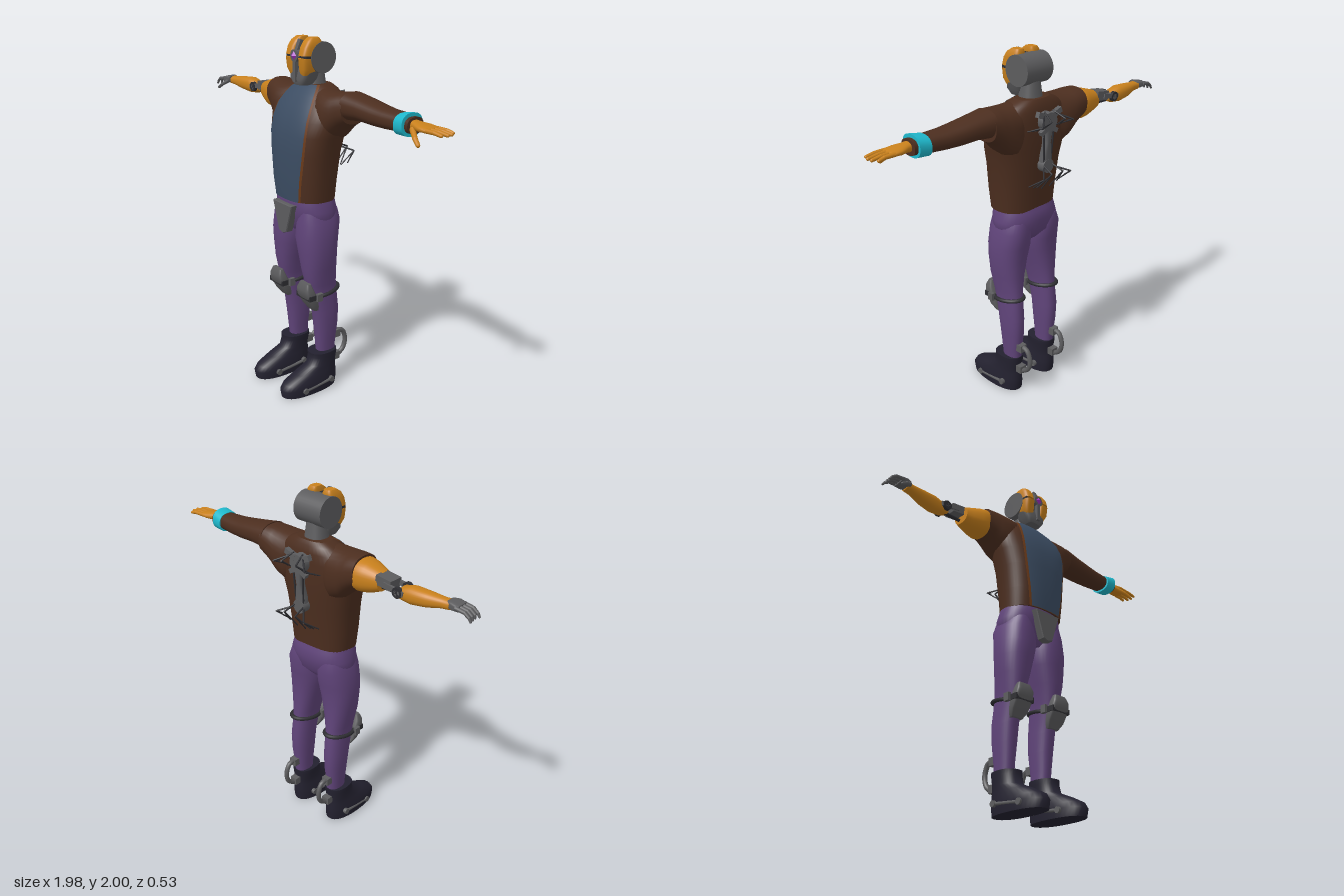
import * as THREE from 'three';

const paint = (color) => new THREE.MeshStandardMaterial({ color, side: THREE.DoubleSide });
const V = (p) => new THREE.Vector3(...p);

// Loft along 'x' or 'y'. Each ring is [t, u0, u1, v0, v1, w]: u is x (or y), v is z.
// With w, only the front part of half width w is made, as an open strip.
function loft(axis, rings, p = 0.85, seg = 32, grow = 0) {
  const pos = [], idx = [], open = rings[0].length > 5;
  const up = rings[1][0] > rings[0][0], n = open ? seg + 1 : seg;
  const tri = (a, b, c) => (up ? idx.push(a, b, c) : idx.push(a, c, b));
  const pw = (v) => Math.sign(v) * Math.abs(v) ** p;
  const put = (t, u, v) => (axis === 'y' ? pos.push(u, t, v) : pos.push(t, u, v));
  const dir = axis === 'y' ? 1 : -1;
  const ring = ([t, u0, u1, v0, v1, w]) => {
    const ru = (u1 - u0) / 2, rv = (v1 - v0) / 2;
    const h = open ? Math.asin(Math.min(1, w / ru) ** (1 / p)) : Math.PI;
    for (let i = 0; i < n; i++) {
      const a = -h + (2 * h * i) / seg;
      put(t, (u0 + u1) / 2 + dir * (ru + grow) * pw(Math.sin(a)), (v0 + v1) / 2 + (rv + grow) * pw(Math.cos(a)));
    }
  };
  rings.forEach(ring);
  for (let r = 0; r < rings.length - 1; r++)
    for (let i = 0; i < seg; i++) {
      const j = (i + 1) % n, a = r * n, b = a + n;
      tri(a + i, a + j, b + j);
      tri(a + i, b + j, b + i);
    }
  if (!open) [rings[0], rings.at(-1)].forEach((r, k) => {
    const s = pos.length / 3;
    ring(r);
    put(r[0], (r[1] + r[2]) / 2, (r[3] + r[4]) / 2);
    for (let i = 0; i < n; i++) {
      const j = (i + 1) % n;
      if (k) tri(s + n, s + i, s + j); else tri(s + n, s + j, s + i);
    }
  });
  const g = new THREE.BufferGeometry();
  g.setAttribute('position', new THREE.Float32BufferAttribute(pos, 3));
  g.setIndex(idx);
  g.computeVertexNormals();
  return g;
}

export function createModel() {
  const root = new THREE.Group();
  const orange = paint(0xc8801c), brown = paint(0x4c2e1f), blue = paint(0x3b4c62), purple = paint(0x60447a);
  const boot = paint(0x23212f), cyan = paint(0x1fb9cd), steel = paint(0x5c5c5e), dark = paint(0x2e2e32), magenta = paint(0xa030c0);
  const trim = paint(0x6b3a18);
  const C = -0.014; // body centre line

  const add = (name, geo, mat, at = [0, 0, 0], rot = [0, 0, 0]) => {
    const m = new THREE.Mesh(geo, mat);
    m.name = name;
    m.position.set(...at);
    m.rotation.set(...rot);
    root.add(m);
    return m;
  };
  const box = (name, size, mat, at, rot) => add(name, new THREE.BoxGeometry(...size), mat, at, rot);
  const disc = (name, r, len, mat, at, rot) => add(name, new THREE.CylinderGeometry(r, r, len, 32), mat, at, rot);
  const bar = (name, a, b, r0, r1, mat) => {
    const d = V(b).sub(V(a));
    const m = add(name, new THREE.CylinderGeometry(r1, r0, d.length(), 10), mat);
    m.position.copy(V(a)).addScaledVector(d, 0.5);
    m.quaternion.setFromUnitVectors(new THREE.Vector3(0, 1, 0), d.normalize());
  };
  const finger = (name, pts, r, mat) => pts.slice(1).forEach((q, i) => {
    bar(name, pts[i], q, r * (1 - 0.15 * i), r * (0.85 - 0.15 * i), mat);
    add(name + 'Joint', new THREE.SphereGeometry(r * (0.85 - 0.15 * i), 10, 8), mat, q);
  });

  // Jacket body: [y, half width, back, front, shirt half width]
  const body = [
    [1.14, 0.183, -0.122, 0.138, 0.1], [1.25, 0.194, -0.13, 0.148, 0.115], [1.4, 0.21, -0.145, 0.15, 0.135],
    [1.5, 0.235, -0.155, 0.143, 0.146], [1.58, 0.252, -0.158, 0.122, 0.146], [1.65, 0.245, -0.158, 0.09, 0.138],
    [1.7, 0.205, -0.153, 0.055, 0.12], [1.735, 0.15, -0.145, 0.025, 0.1], [1.755, 0.1, -0.13, 0, 0.075],
  ];
  const wrap = (extra) => body.map(([y, w, b, f, s]) =>
    extra === undefined ? [y, C - w, C + w, b, f] : [y, C - w, C + w, b, f, s + extra]);
  add('jacket', loft('y', wrap(), 0.8, 48), brown);
  add('jacketTrim', loft('y', wrap(0.012), 0.8, 24, 0.003), trim);
  add('shirt', loft('y', wrap(0), 0.8, 24, 0.006), blue);
  for (const s of [1, -1])
    add('jacketShoulder', loft('x', [
      [0.08, 1.52, 1.75, -0.13, 0.03], [0.16, 1.46, 1.738, -0.155, 0.07], [0.22, 1.49, 1.738, -0.157, 0.068],
      [0.26, 1.535, 1.742, -0.157, 0.055], [0.29, 1.56, 1.745, -0.156, 0.043], [0.33, 1.585, 1.745, -0.155, 0.032],
    ].map(([x, ...r]) => [C + s * x, ...r])), brown);

  // Left arm: sleeve, cuff, hand
  add('sleeve', loft('x', [
    [0.3, 1.605, 1.75, -0.152, 0.032], [0.4, 1.615, 1.735, -0.145, 0.02], [0.5, 1.61, 1.72, -0.135, 0.015],
    [0.58, 1.61, 1.71, -0.125, 0.01], [0.7, 1.615, 1.705, -0.11, 0.002],
  ]), brown);
  add('cuff', loft('x', [[0.68, 1.602, 1.708, -0.118, 0.015], [0.745, 1.604, 1.718, -0.113, 0.022]]), cyan, [0, 0, 0]);
  add('cuffLining', loft('x', [[0.74, 1.62, 1.7, -0.1, 0.005], [0.765, 1.62, 1.7, -0.1, 0.005]]), brown);
  add('palm', loft('x', [
    [0.75, 1.635, 1.69, -0.075, -0.015], [0.785, 1.64, 1.685, -0.08, -0.01], [0.83, 1.642, 1.68, -0.098, 0.006],
    [0.875, 1.646, 1.674, -0.098, 0.004], [0.885, 1.652, 1.668, -0.09, -0.004],
  ]), orange);
  [[-0.085, -0.092, 0.965], [-0.06, -0.065, 0.983], [-0.034, -0.038, 0.986], [-0.008, -0.008, 0.975]].forEach(([z, z1, x]) =>
    finger('finger', [[0.865, 1.66, z], [0.925, 1.66, (z + z1) / 2], [x - 0.008, 1.654, z1]], 0.012, orange));
  finger('thumb', [[0.78, 1.65, -0.015], [0.835, 1.62, 0.02], [0.868, 1.598, 0.033]], 0.015, orange);

  // Right arm: mechanical, with an open elbow
  add('upperArm', loft('x', [
    [-0.31, 1.58, 1.73, -0.145, 0.02], [-0.35, 1.567, 1.735, -0.152, 0.028], [-0.39, 1.572, 1.728, -0.145, 0.02],
    [-0.44, 1.588, 1.714, -0.133, 0], [-0.478, 1.605, 1.702, -0.125, -0.015],
  ]), orange);
  box('elbowBlock', [0.09, 0.05, 0.08], steel, [-0.51, 1.672, -0.085], [0, 0, 0.12]);
  for (const z of [-0.125, -0.045]) {
    box('elbowFork', [0.12, 0.025, 0.014], steel, [-0.575, 1.66, z], [0, 0, 0.15]);
    disc('elbowDisc', 0.027, 0.02, dark, [-0.6, 1.652, z], [Math.PI / 2, 0, 0]);
  }
  disc('elbowPin', 0.016, 0.1, steel, [-0.6, 1.652, -0.085], [Math.PI / 2, 0, 0]);
  bar('elbowPiston', [-0.48, 1.63, -0.085], [-0.6, 1.63, -0.085], 0.01, 0.01, dark);
  add('forearm', loft('x', [
    [-0.575, 1.625, 1.645, -0.11, -0.06], [-0.61, 1.61, 1.68, -0.125, -0.05], [-0.67, 1.605, 1.695, -0.132, -0.043],
    [-0.75, 1.615, 1.69, -0.122, -0.04], [-0.82, 1.63, 1.682, -0.1, -0.04], [-0.865, 1.635, 1.682, -0.098, -0.035],
  ]), orange);
  add('mechanicalPalm', loft('x', [
    [-0.85, 1.645, 1.682, -0.09, -0.03], [-0.88, 1.642, 1.684, -0.1, -0.02], [-0.915, 1.645, 1.675, -0.1, -0.02],
  ], 0.5), steel);
  [-0.095, -0.072, -0.049, -0.026].forEach((z, i) =>
    finger('mechanicalFinger', [[-0.9, 1.664, z], [-0.95, 1.658, z], [-0.975, 1.64, z], [-0.985 + (i % 3) * 0.004, 1.625, z]], 0.011, steel));
  finger('mechanicalThumb', [[-0.86, 1.655, -0.03], [-0.895, 1.63, -0.005], [-0.925, 1.61, 0]], 0.012, steel);

  // Neck and head
  add('neck', loft('y', [[1.7, C - 0.07, C + 0.07, -0.12, 0.015], [1.76, C - 0.06, C + 0.06, -0.11, 0.005], [1.84, C - 0.05, C + 0.05, -0.1, 0]]), steel);
  disc('headDrum', 0.081, 0.182, steel, [C, 1.895, -0.045], [0, 0, Math.PI / 2]);
  add('skull', loft('y', [[1.8, C - 0.06, C + 0.06, -0.03, 0.05], [1.88, C - 0.075, C + 0.075, -0.04, 0.06], [1.97, C - 0.07, C + 0.07, -0.05, 0.035]], 0.6), dark);
  add('jaw', loft('y', [
    [1.752, C - 0.045, C + 0.045, -0.02, 0.06], [1.785, C - 0.068, C + 0.068, -0.04, 0.074], [1.84, C - 0.084, C + 0.084, -0.05, 0.06],
  ], 0.6), steel);
  for (const s of [1, -1]) {
    const side = (a, b) => (s > 0 ? [C + a, C + b] : [C - b, C - a]);
    add('facePlate', loft('y', [
      [1.805, ...side(0.02, 0.07), -0.02, 0.062], [1.84, ...side(0.02, 0.087), -0.03, 0.074], [1.895, ...side(0.02, 0.09), -0.035, 0.08],
    ], 0.55), orange);
    add('browPlate', loft('y', [
      [1.908, ...side(0.02, 0.09), -0.035, 0.078], [1.95, ...side(0.02, 0.09), -0.04, 0.066],
      [1.98, ...side(0.02, 0.085), -0.045, 0.046], [1.998, ...side(0.025, 0.072), -0.035, 0.02],
    ], 0.55), orange);
    box('visor', [0.07, 0.014, 0.09], dark, [C + s * 0.053, 1.902, 0.02]);
  }
  box('noseBar', [0.024, 0.13, 0.03], steel, [C, 1.835, 0.066]);
  box('crownBar', [0.024, 0.07, 0.03], steel, [C, 1.95, 0.045], [-0.4, 0, 0]);
  disc('lensMount', 0.032, 0.03, steel, [C, 1.905, 0.066], [Math.PI / 2, 0, 0]);
  add('lens', new THREE.OctahedronGeometry(0.033), magenta, [C, 1.905, 0.075]).scale.z = 0.6;

  // Trousers
  const P = -0.019;
  add('hips', loft('y', [
    [0.945, P - 0.1, P + 0.1, -0.07, 0.07], [1.0, P - 0.195, P + 0.195, -0.12, 0.112], [1.08, P - 0.195, P + 0.195, -0.138, 0.13],
    [1.13, P - 0.182, P + 0.182, -0.13, 0.133], [1.18, P - 0.172, P + 0.172, -0.115, 0.125],
  ], 0.85, 40), purple);

  for (const s of [1, -1]) {
    const X = P + s * 0.133;
    const span = (a, b) => (s > 0 ? [P + a, P + b] : [P - b, P - a]);
    add('trouserLeg', loft('y', [
      [0.2, 0.09, 0.17, -0.1, 0.015], [0.28, 0.088, 0.175, -0.105, 0.022], [0.38, 0.08, 0.183, -0.117, 0.032],
      [0.48, 0.078, 0.188, -0.12, 0.045], [0.58, 0.075, 0.185, -0.11, 0.066], [0.65, 0.07, 0.186, -0.104, 0.088],
      [0.75, 0.045, 0.204, -0.1, 0.106], [0.85, 0.02, 0.213, -0.104, 0.116], [0.93, 0.004, 0.212, -0.115, 0.124],
      [1.02, 0.01, 0.202, -0.13, 0.118], [1.08, 0.03, 0.18, -0.12, 0.11],
    ].map(([y, a, b, ...z]) => [y, ...span(a, b), ...z])), purple);

    // Boot and its side struts
    add('boot', loft('y', [
      [0, 0.058, 0.21, -0.1, 0.262], [0.045, 0.056, 0.214, -0.105, 0.27], [0.075, 0.06, 0.21, -0.105, 0.25],
      [0.115, 0.068, 0.202, -0.102, 0.17], [0.15, 0.075, 0.195, -0.098, 0.085], [0.2, 0.068, 0.198, -0.105, 0.068], [0.225, 0.068, 0.198, -0.106, 0.07],
    ].map(([y, a, b, ...z]) => [y, ...span(a, b), ...z])), boot);
    for (const k of [1, -1]) {
      const x = X + k * 0.076;
      bar('bootStrut', [x, 0.037, 0.155], [x, 0.055, -0.03], 0.009, 0.009, steel);
      for (const [y, z] of [[0.037, 0.155], [0.055, -0.03]])
        disc('bootStrutPivot', 0.017, 0.02, steel, [x, y, z], [0, 0, Math.PI / 2]);
    }

    // Heel brace
    const curve = new THREE.CatmullRomCurve3([[0.31, -0.12], [0.3, -0.165], [0.24, -0.19], [0.18, -0.175], [0.145, -0.13]].map(([y, z]) => V([X, y, z])));
    add('heelBrace', new THREE.TubeGeometry(curve, 20, 0.014, 10), steel);
    box('heelBraceTop', [0.045, 0.045, 0.04], steel, [X, 0.3, -0.118]);
    box('heelBraceFoot', [0.045, 0.045, 0.04], steel, [X, 0.155, -0.115]);

    // Knee guard: pad, strap, side pivots
    add('kneePad', loft('y', [
      [0.5, X - 0.037, X + 0.037, 0.03, 0.062], [0.535, X - 0.055, X + 0.055, 0.04, 0.088], [0.6, X - 0.06, X + 0.06, 0.055, 0.125],
      [0.64, X - 0.055, X + 0.055, 0.075, 0.13], [0.675, X - 0.04, X + 0.04, 0.088, 0.116],
    ], 0.45), steel);
    box('kneeBand', [0.126, 0.03, 0.05], dark, [X, 0.595, 0.092]);
    add('kneeStrap', new THREE.TorusGeometry(0.066, 0.011, 8, 32), dark, [X, 0.602, -0.015], [Math.PI / 2 + 0.13, 0, 0]).scale.y = 1.5;
    for (const k of [1, -1]) box('kneePivot', [0.02, 0.045, 0.035], steel, [X + k * 0.07, 0.598, 0.055]);
  }

  // Groin guard
  const guard = new THREE.Shape([[-0.083, 0.08], [0.083, 0.08], [0.032, -0.075], [0, -0.085], [-0.032, -0.075]].map((p) => new THREE.Vector2(...p)));
  add('groinGuard', new THREE.ExtrudeGeometry(guard, { depth: 0.035, bevelSize: 0.004, bevelThickness: 0.006, bevelSegments: 1 }), steel, [P - 0.004, 1.033, 0.118]);

  // Back rig: hubs, spine and jointed rods
  disc('upperHub', 0.05, 0.05, steel, [C, 1.645, -0.175], [Math.PI / 2, 0, 0]);
  disc('lowerHub', 0.038, 0.045, steel, [C, 1.405, -0.168], [Math.PI / 2, 0, 0]);
  add('spine', loft('y', [
    [1.39, C - 0.035, C + 0.035, -0.19, -0.14], [1.46, C - 0.03, C + 0.03, -0.19, -0.14], [1.53, C - 0.016, C + 0.016, -0.195, -0.145],
    [1.6, C - 0.025, C + 0.025, -0.2, -0.15], [1.68, C - 0.045, C + 0.045, -0.2, -0.15],
  ], 0.6), steel);
  for (const s of [1, -1]) {
    box('hubArm', [0.07, 0.03, 0.025], steel, [C + s * 0.05, 1.685, -0.188], [0, 0, s * 0.35]);
    box('hubLowerArm', [0.05, 0.025, 0.025], steel, [C + s * 0.035, 1.6, -0.185], [0, 0, -s * 0.5]);
    for (const [x, y0, y1, y2, y3] of [[0.05, 1.7, 1.665, 1.61, 1.6], [0.11, 1.69, 1.65, 1.62, 1.61], [0.04, 1.41, 1.385, 1.3, 1.28], [0.1, 1.4, 1.37, 1.32, 1.3]]) {
      const out = C + s * x, pts = [[C + s * 0.03, y0, -0.185], [out, y1, -0.255], [out + s * 0.035, y2, -0.18]];
      bar('rigRod', pts[0], pts[1], 0.0045, 0.0045, dark);
      bar('rigRod', pts[1], pts[2], 0.0045, 0.003, dark);
      bar('rigRodTip', [out, y1, -0.255], [out - s * 0.01, y3, -0.17], 0.004, 0.003, dark);
    }
    bar('rigStay', [C + s * 0.035, 1.62, -0.19], [C + s * 0.025, 1.42, -0.18], 0.005, 0.005, dark);
  }
  return root;
}
